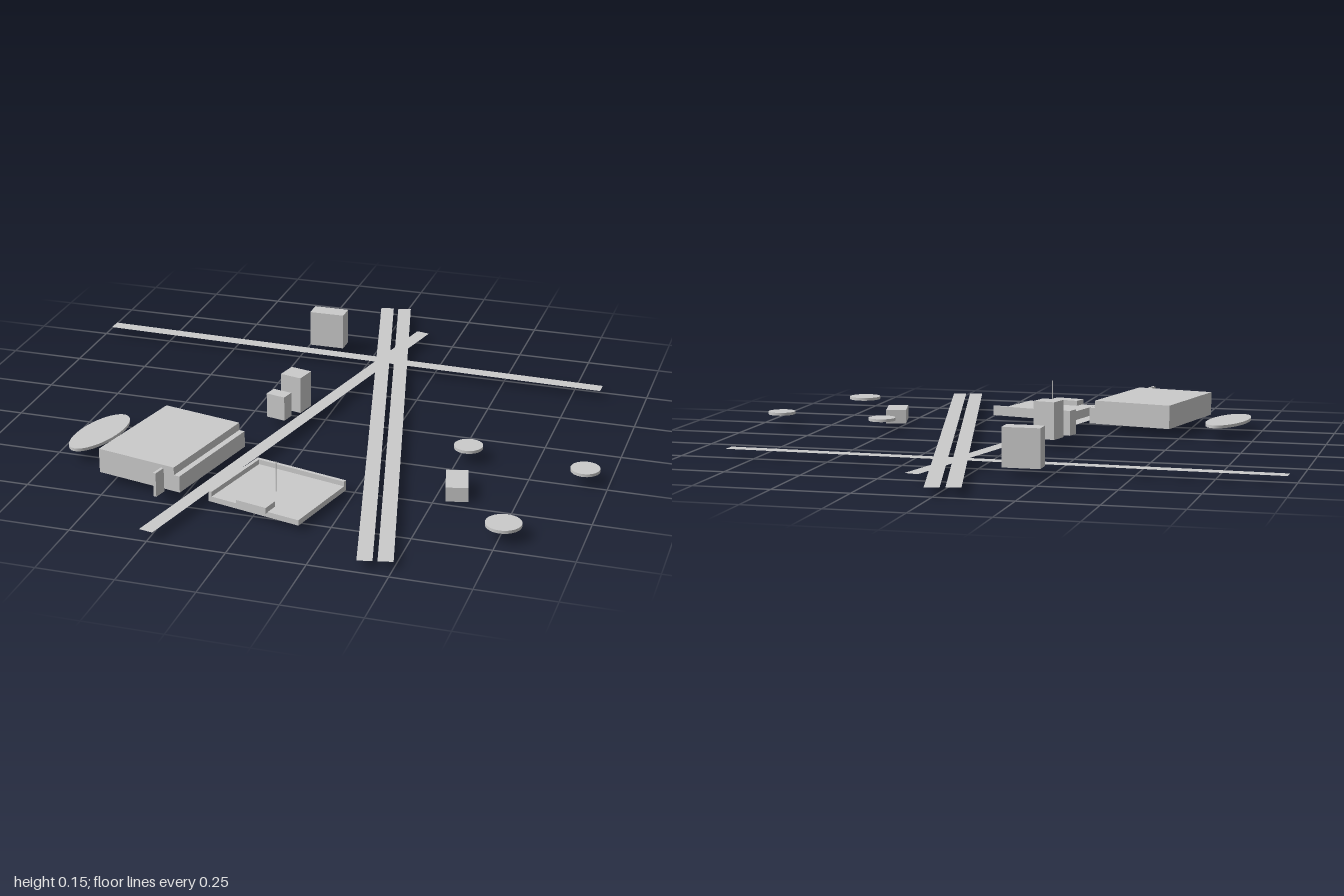
import * as THREE from 'three';

const material = new THREE.MeshStandardMaterial({ color: 0xcccccc, flatShading: true });
const thinMaterial = new THREE.MeshStandardMaterial({ color: 0xcccccc, side: THREE.DoubleSide });
const discMaterial = new THREE.MeshStandardMaterial({ color: 0xcccccc });
const GROUND = 0.028;

// Box given by footprint centre, size, bottom and top heights, and turn about y
function box(parent, name, x, z, w, d, y0, y1, turn = 0) {
  const mesh = new THREE.Mesh(new THREE.BoxGeometry(w, y1 - y0, d), material);
  mesh.name = name;
  mesh.position.set(x, (y0 + y1) / 2, z);
  mesh.rotation.y = turn;
  parent.add(mesh);
}

// Flat strip between two points on the ground
function road(parent, name, x0, z0, x1, z1) {
  const dx = x1 - x0, dz = z1 - z0;
  const geometry = new THREE.PlaneGeometry(0.047, Math.hypot(dx, dz)).rotateX(-Math.PI / 2);
  const mesh = new THREE.Mesh(geometry, thinMaterial);
  mesh.name = name;
  mesh.position.set((x0 + x1) / 2, GROUND, (z0 + z1) / 2);
  mesh.rotation.y = Math.atan2(dx, dz);
  parent.add(mesh);
}

// Thin round or oval plate
function disc(parent, name, x, z, rx, rz, turn = 0) {
  const mesh = new THREE.Mesh(new THREE.CylinderGeometry(1, 1, 1, 40), discMaterial);
  mesh.name = name;
  mesh.scale.set(rx, 0.01, rz);
  mesh.position.set(x, 0.044, z);
  mesh.rotation.y = turn;
  parent.add(mesh);
}

export function createModel() {
  const model = new THREE.Group();
  model.name = 'sitePlan';

  // Roads
  road(model, 'diagonalRoad', -0.257, 0.987, 0.13, -0.788);
  road(model, 'dualRoadRight', -0.06, -0.984, 0.42, 0.976);
  road(model, 'dualRoadLeft', 0.003, -0.995, 0.48, 0.963);
  road(model, 'crossRoad', -0.976, -0.524, 0.847, -0.471);

  // Small buildings
  box(model, 'backBuilding', -0.167, -0.585, 0.123, 0.061, GROUND, 0.154);
  box(model, 'tallBuilding', -0.107, -0.012, 0.076, 0.07, GROUND, 0.154, -0.23);
  box(model, 'lowBuilding', -0.138, 0.077, 0.068, 0.045, GROUND, 0.112, -0.23);
  box(model, 'sideBuilding', 0.555, 0.407, 0.071, 0.128, 0, 0.048, 0.24);

  // Large hall with a lower ledge along its left side
  const hall = new THREE.Group();
  hall.name = 'hall';
  hall.position.set(-0.356, 0, 0.495);
  hall.rotation.y = -0.214;
  box(hall, 'hallBody', -0.01, 0, 0.28, 0.386, GROUND, 0.109);
  box(hall, 'hallLedge', 0.14, 0, 0.02, 0.386, GROUND, 0.083);
  model.add(hall);
  box(model, 'signPanel', -0.309, 0.742, 0.01, 0.044, GROUND, 0.108, -0.23);

  // Courtyard slab with two low walls, a kiosk and a pole
  const court = new THREE.Group();
  court.name = 'courtyard';
  court.position.set(0.037, 0, 0.622);
  court.rotation.y = -0.24;
  box(court, 'courtFloor', 0, 0, 0.325, 0.283, 0.016, 0.034);
  box(court, 'backWall', 0, -0.1355, 0.325, 0.012, 0.034, 0.05);
  box(court, 'sideWall', -0.1565, 0.006, 0.012, 0.271, 0.034, 0.05);
  box(court, 'kiosk', 0, 0.126, 0.107, 0.053, 0.032, 0.052);
  const pole = new THREE.Mesh(new THREE.CylinderGeometry(0.0018, 0.0018, 0.101, 8), discMaterial);
  pole.name = 'pole';
  pole.position.set(0, 0.0845, 0.008);
  court.add(pole);
  model.add(court);

  // Round and oval plates
  disc(model, 'nearDisc', 0.53, 0.155, 0.047, 0.047);
  disc(model, 'farDisc', 0.922, 0.213, 0.047, 0.047);
  disc(model, 'frontDisc', 0.76, 0.657, 0.056, 0.056);
  disc(model, 'ovalPlate', -0.645, 0.407, 0.063, 0.15, -0.2);

  return model;
}
